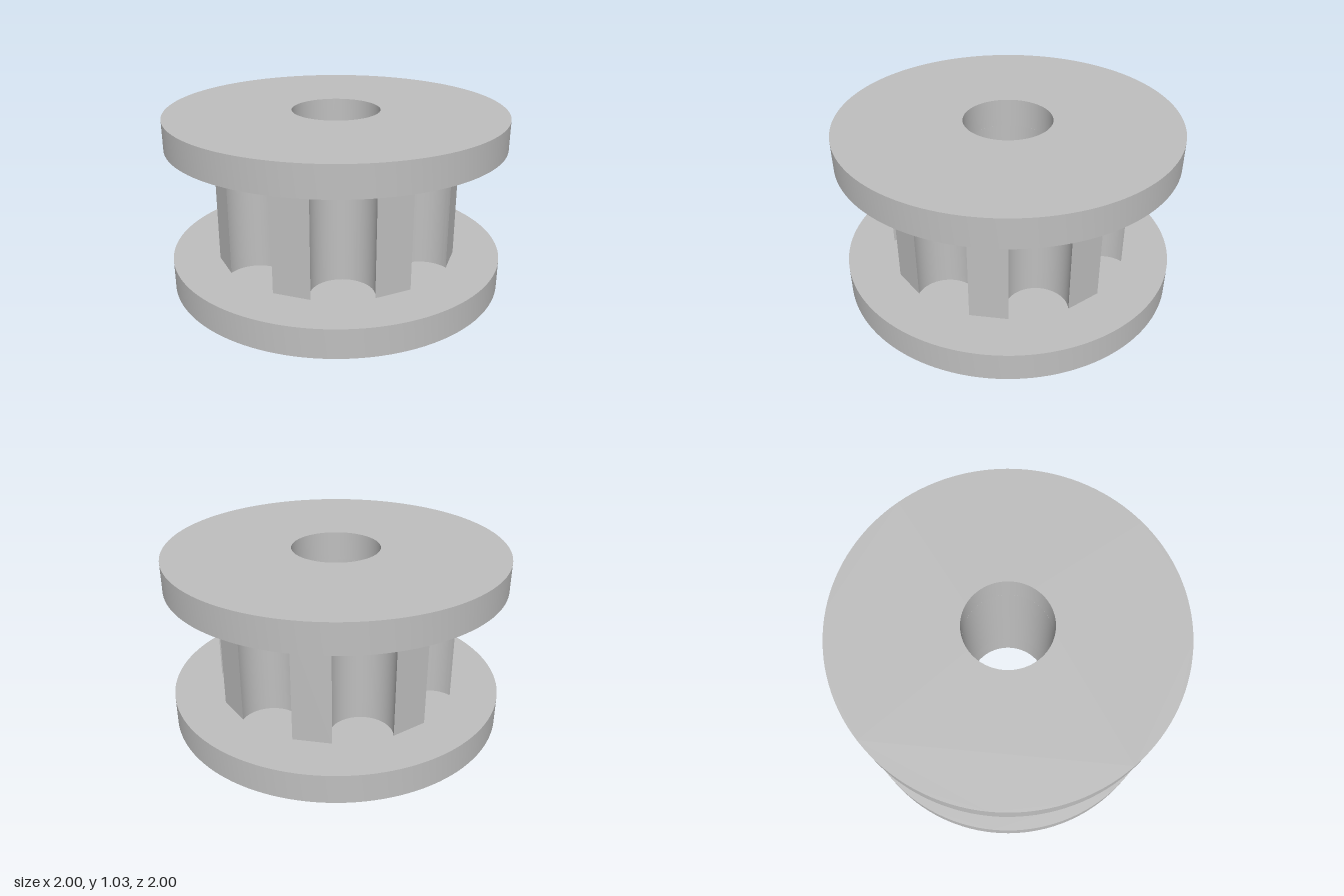
import * as THREE from 'three';
import { toCreasedNormals } from 'three/addons/utils/BufferGeometryUtils.js';

const BORE = 0.26;

// Extrudes a plan outline upward from y0 to y1, with the shaft bore cut through
function extrudeUp(shape, y0, y1, curveSegments) {
  const bore = new THREE.Path();
  bore.absarc(0, 0, BORE, 0, Math.PI * 2, true);
  shape.holes.push(bore);
  const geo = new THREE.ExtrudeGeometry(shape, { depth: y1 - y0, bevelEnabled: false, curveSegments });
  geo.rotateX(-Math.PI / 2);
  geo.translate(0, y0, 0);
  return toCreasedNormals(geo, 0.5);
}

// Flat-topped teeth separated by round, slightly undercut grooves
function toothedOutline() {
  const teeth = 8, radius = 0.727;
  const step = (Math.PI * 2) / teeth;
  const halfGroove = THREE.MathUtils.degToRad(13.8);
  const firstGroove = THREE.MathUtils.degToRad(17.7 - 90);
  const grooveCentre = 0.664;
  const out = radius * Math.cos(halfGroove) - grooveCentre;
  const side = radius * Math.sin(halfGroove);
  const grooveRadius = Math.hypot(out, side);
  const spread = Math.atan2(side, out);
  const shape = new THREE.Shape();
  for (let i = 0; i < teeth; i++) {
    const a = firstGroove + i * step;
    const start = a - halfGroove;
    const x = radius * Math.cos(start), y = radius * Math.sin(start);
    if (i === 0) shape.moveTo(x, y);
    else shape.lineTo(x, y);
    shape.absarc(grooveCentre * Math.cos(a), grooveCentre * Math.sin(a), grooveRadius, a - spread, a + spread, true);
  }
  shape.closePath();
  return shape;
}

function discOutline() {
  const shape = new THREE.Shape();
  shape.absarc(0, 0, 1, 0, Math.PI * 2, false);
  return shape;
}

export function createModel() {
  const group = new THREE.Group();
  group.name = 'toothedPulley';
  const metal = new THREE.MeshStandardMaterial({ color: 0xbfbfbf });
  metal.name = 'plain grey';

  const add = (name, geometry) => {
    const mesh = new THREE.Mesh(geometry, metal);
    mesh.name = name;
    group.add(mesh);
  };

  // Two flanges with the toothed hub between them
  add('lowerFlange', extrudeUp(discOutline(), 0, 0.173, 64));
  add('toothedHub', extrudeUp(toothedOutline(), 0.173, 0.862, 32));
  add('upperFlange', extrudeUp(discOutline(), 0.862, 1.035, 64));
  return group;
}
